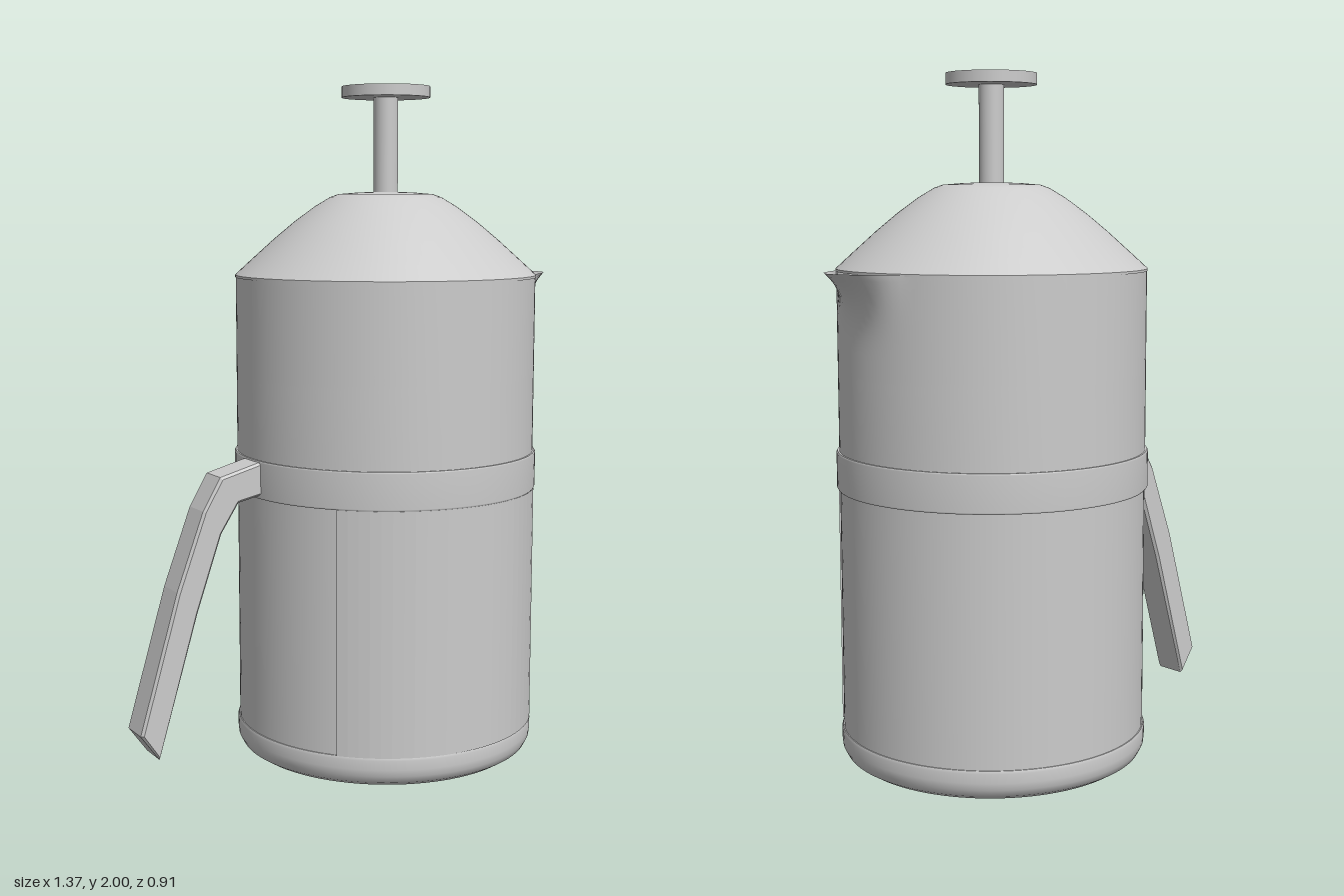
import * as THREE from 'three';

const AXIS_X = 0.142; // centre line of the pot
const R = 0.445;

export function createModel() {
  const model = new THREE.Group();
  const grey = new THREE.MeshStandardMaterial({ color: 0xcccccc });
  const open = new THREE.MeshStandardMaterial({ color: 0xcccccc, side: THREE.DoubleSide });
  const flat = new THREE.MeshStandardMaterial({ color: 0xcccccc, flatShading: true });

  const add = (name, geometry, material = grey, x = AXIS_X) => {
    const mesh = new THREE.Mesh(geometry, material);
    mesh.name = name;
    mesh.position.x = x;
    model.add(mesh);
  };

  // Turned part; a third entry of 1 doubles the point to make a hard edge
  const turned = (points, segments = 96) => {
    const profile = [];
    for (const [r, y, hard] of points) {
      profile.push(new THREE.Vector2(r, y));
      if (hard) profile.push(new THREE.Vector2(r, y));
    }
    return new THREE.LatheGeometry(profile, segments, -Math.PI / 2);
  };

  // Rounded foot
  add('base', turned([
    [0, 0.005], [0.34, 0.008], [0.38, 0.012], [0.415, 0.02], [0.437, 0.034],
    [0.448, 0.055], [0.45, 0.075], [0.45, 0.102], [0.447, 0.11, 1], [0.43, 0.11],
  ]));

  // Lower body
  add('lowerBody', turned([[R - 0.001, 0.1], [R - 0.001, 0.84]]));

  // Raised curved plate on the front of the lower body
  const half = 0.85;
  const plate = new THREE.Shape();
  plate.absarc(0, 0, 0.451, -Math.PI / 2 - half, -Math.PI / 2 + half, false);
  plate.absarc(0, 0, 0.43, -Math.PI / 2 + half, -Math.PI / 2 - half, true);
  const plateGeometry = new THREE.ExtrudeGeometry(plate, { depth: 0.71, bevelEnabled: false, curveSegments: 12 });
  plateGeometry.rotateX(-Math.PI / 2).translate(0, 0.11, 0);
  add('frontPlate', plateGeometry, flat);

  // Band that carries the handle
  add('band', turned([
    [0.43, 0.82, 1], [0.45, 0.82, 1], [0.453, 0.825], [0.453, 0.925], [0.45, 0.93, 1], [0.43, 0.93],
  ]));

  // Upper body, with the wall pushed outward into a pouring lip
  const rows = [[R, 0.92], [R, 1.15]];
  for (let i = 1; i <= 16; i++) rows.push([R, 1.15 + (0.3 * i) / 16]);
  const wall = turned(rows, 128);
  const pos = wall.attributes.position;
  for (let i = 0; i < pos.count; i++) {
    const x = pos.getX(i), y = pos.getY(i), z = pos.getZ(i);
    const d = Math.atan2(z, x) - 0.06;
    const u = Math.abs(d) / (d > 0 ? 0.48 : 0.42);
    const t = Math.max(0, (y - 1.2) / 0.25);
    if (u >= 1 || t === 0) continue;
    const width = Math.cos((u * Math.PI) / 2) ** 2;
    const scale = 1 + (0.094 * width * t ** 3.7) / R;
    pos.setXYZ(i, x * scale, y, z * scale);
  }
  wall.computeVertexNormals();
  add('upperBodyWithSpout', wall, open);

  // Domed lid
  add('lid', turned([
    [0, 1.445, 1], [R + 0.002, 1.445, 1], [R + 0.002, 1.452, 1], [0.4, 1.495], [0.33, 1.558],
    [0.27, 1.608], [0.21, 1.652], [0.165, 1.679], [0.14, 1.688], [0.08, 1.693], [0, 1.695],
  ]));

  // Plunger rod and knob
  add('plungerRod', new THREE.CylinderGeometry(0.036, 0.036, 0.3, 32).translate(0, 1.83, 0));
  add('plungerKnob', new THREE.CylinderGeometry(0.13, 0.13, 0.032, 64).translate(0, 1.984, 0));

  // Bent handle with slightly softened edges
  const outline = [
    [-0.28, 0.92], [-0.31, 0.919], [-0.427, 0.888], [-0.48, 0.798], [-0.563, 0.575], [-0.68, 0.177],
    [-0.633, 0.108], [-0.515, 0.51], [-0.437, 0.734], [-0.38, 0.822], [-0.31, 0.837], [-0.28, 0.837],
  ].map(([x, y]) => new THREE.Vector2(x, y));
  const handle = new THREE.ExtrudeGeometry(new THREE.Shape(outline), {
    depth: 0.09, bevelEnabled: true, bevelThickness: 0.008, bevelSize: 0.007, bevelSegments: 1,
  });
  add('handle', handle.translate(0, 0, -0.043), flat, 0);

  return model;
}
